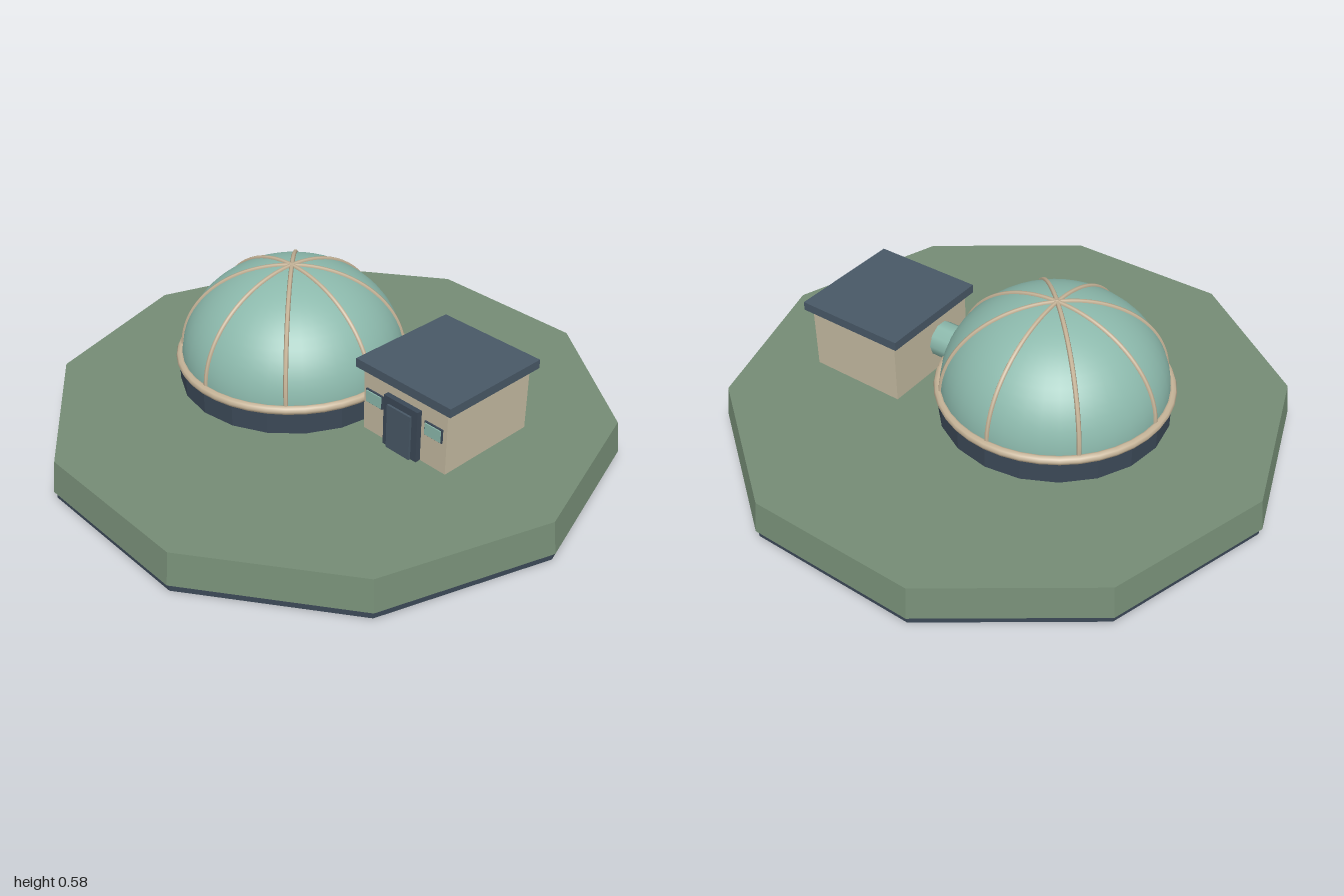
import * as THREE from 'three';

const mat = (name, color, flatShading = false) => {
  const m = new THREE.MeshStandardMaterial({ color });
  m.name = name;
  m.flatShading = flatShading;
  return m;
};

export function createModel() {
  const green = mat('mossGreen', 0x758c75, true);
  const slate = mat('slate', 0x485866, true);
  const darkSlate = mat('darkSlate', 0x3b4856, true);
  const teal = mat('tealGlass', 0x8cb9ac);
  const sand = mat('sandWall', 0xc3b9a0, true);
  const trim = mat('sandTrim', 0xc6b498);

  const model = new THREE.Group();
  model.name = 'domeStation';
  const add = (parent, name, geometry, material, x = 0, y = 0, z = 0) => {
    const mesh = new THREE.Mesh(geometry, material);
    mesh.name = name;
    mesh.position.set(x, y, z);
    parent.add(mesh);
    return mesh;
  };
  // Box given by its minimum and maximum corners
  const box = (parent, name, material, [x0, y0, z0], [x1, y1, z1]) =>
    add(parent, name, new THREE.BoxGeometry(x1 - x0, y1 - y0, z1 - z0), material,
      (x0 + x1) / 2, (y0 + y1) / 2, (z0 + z1) / 2);

  // Ten-sided ground on a thin slab, corners on the x axis
  const decagon = (rTop, rBottom, h) =>
    new THREE.CylinderGeometry(rTop, rBottom, h, 10).rotateY(Math.PI / 10);
  add(model, 'groundSlab', decagon(0.99, 0.99, 0.03), darkSlate, 0, 0.015, 0);
  add(model, 'ground', decagon(0.985, 1, 0.115), green, 0, 0.0855, 0);

  // Dome building
  const dome = new THREE.Group();
  dome.name = 'domeBuilding';
  dome.position.set(-0.187, 0, 0.012);
  model.add(dome);
  const R = 0.392, H = 0.331, rimY = 0.245;
  add(dome, 'domeBase', new THREE.CylinderGeometry(0.403, 0.403, 0.09, 20), darkSlate, 0, 0.199, 0);
  const shell = new THREE.SphereGeometry(R, 40, 16, 0, Math.PI * 2, 0, Math.PI / 2).scale(1, H / R, 1);
  add(dome, 'domeShell', shell, teal, 0, rimY, 0);
  add(dome, 'domeRing', new THREE.TorusGeometry(0.398, 0.0155, 8, 40).rotateX(Math.PI / 2), trim, 0, rimY, 0);

  // Eight ribs running from the rim to the crown
  const arc = [];
  for (let i = 0; i <= 12; i++) {
    const a = (i / 12) * Math.PI / 2;
    arc.push(new THREE.Vector3(R * Math.cos(a), H * Math.sin(a), 0));
  }
  const rib = new THREE.TubeGeometry(new THREE.CatmullRomCurve3(arc), 24, 0.008, 6);
  for (let i = 0; i < 8; i++) {
    add(dome, 'domeRib', rib, trim, 0, rimY, 0).rotation.y = i * Math.PI / 4;
  }

  // Passage between dome and hut
  add(model, 'passage', new THREE.CylinderGeometry(0.064, 0.064, 0.17, 10).rotateZ(Math.PI / 2),
    teal, 0.185, 0.28, -0.05);

  // Entrance hut
  const hut = new THREE.Group();
  hut.name = 'entranceHut';
  model.add(hut);
  box(hut, 'hutWalls', sand, [0.254, 0.165, -0.3], [0.618, 0.4, 0.09]);
  box(hut, 'hutRoof', slate, [0.23, 0.396, -0.32], [0.64, 0.428, 0.106]);
  box(hut, 'doorFrame', darkSlate, [0.362, 0.165, 0.08], [0.51, 0.353, 0.11]);
  box(hut, 'doorPanel', slate, [0.384, 0.165, 0.09], [0.486, 0.328, 0.118]);

  // Front windows either side of the door
  for (const [x0, x1] of [[0.268, 0.342], [0.528, 0.602]]) {
    box(hut, 'windowFrame', darkSlate, [x0, 0.277, 0.088], [x1, 0.327, 0.096]);
    box(hut, 'windowPane', teal, [x0 + 0.004, 0.281, 0.092], [x1 - 0.004, 0.323, 0.1]);
  }
  return model;
}
